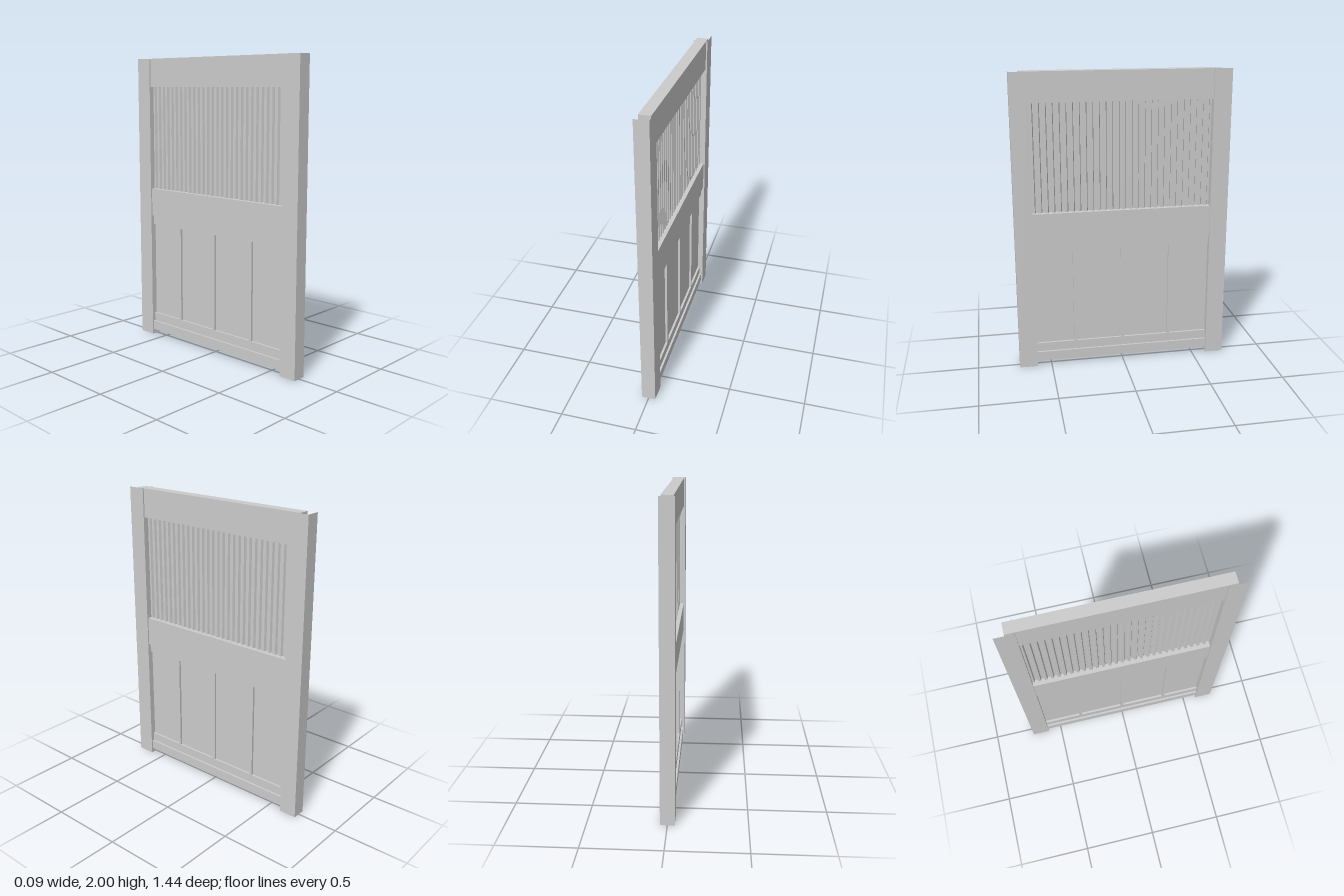
import * as THREE from 'three';

const material = new THREE.MeshStandardMaterial({ color: 0xcccccc, flatShading: true });

export function createModel() {
  const group = new THREE.Group();

  const add = (name, geometry, x = 0, y = 0, z = 0) => {
    const mesh = new THREE.Mesh(geometry, material);
    mesh.name = name;
    mesh.position.set(x, y, z);
    group.add(mesh);
    return mesh;
  };

  // Bar running along z between two heights, its ends set into the posts
  const bar = (name, y0, y1, halfDepth, length = 1.312) =>
    add(name, new THREE.BoxGeometry(halfDepth * 2, y1 - y0, length), 0, (y0 + y1) / 2, 0);

  // Hollow posts, open at top and bottom
  for (const side of [1, -1]) {
    const tube = new THREE.CylinderGeometry(Math.SQRT1_2, Math.SQRT1_2, 2, 4, 1, true);
    tube.rotateY(Math.PI / 4);
    tube.scale(0.092, 1, 0.12);
    add(side > 0 ? 'frontPost' : 'backPost', tube, 0, 1, side * 0.658);
  }

  // Rails
  bar('topRail', 1.805, 2, 0.037);
  bar('middleRail', 0.888, 1.085, 0.037);
  bar('bottomRail', 0.035, 0.1, 0.037);

  // Recessed trim beside the lower panel
  bar('upperTrim', 0.825, 0.888, 0.023);
  bar('lowerTrim', 0.1, 0.16, 0.023);

  // Lower panel of three boards
  const seams = [0.16, 0.367, 0.622, 0.825];
  for (let i = 0; i < 3; i++) bar('panelBoard', seams[i], seams[i + 1], 0.008);

  // Narrow uprights dividing the lower panel
  for (const z of [-0.328, 0, 0.328]) {
    add('upright', new THREE.BoxGeometry(0.046, 0.665, 0.02), 0, 0.4925, z);
  }

  // Ribbed upper sheet: trapezoid waves extruded upwards
  const ribs = 28, pitch = 1.2 / ribs;
  const wave = [];
  for (let i = 0; i < ribs; i++) {
    const z = -0.6 + i * pitch;
    for (const [t, x] of [[0, -0.008], [0.35, -0.008], [0.5, 0.008], [0.85, 0.008]]) {
      wave.push([x, z + t * pitch]);
    }
  }
  wave.push([-0.008, 0.6]);
  const outline = [
    ...wave.map(([x, z]) => new THREE.Vector2(x + 0.003, -z)),
    ...wave.map(([x, z]) => new THREE.Vector2(x - 0.003, -z)).reverse(),
  ];
  const sheet = new THREE.ExtrudeGeometry(new THREE.Shape(outline), { depth: 0.74, bevelEnabled: false });
  sheet.rotateX(-Math.PI / 2);
  add('ribbedSheet', sheet, 0, 1.075, 0);

  return group;
}
